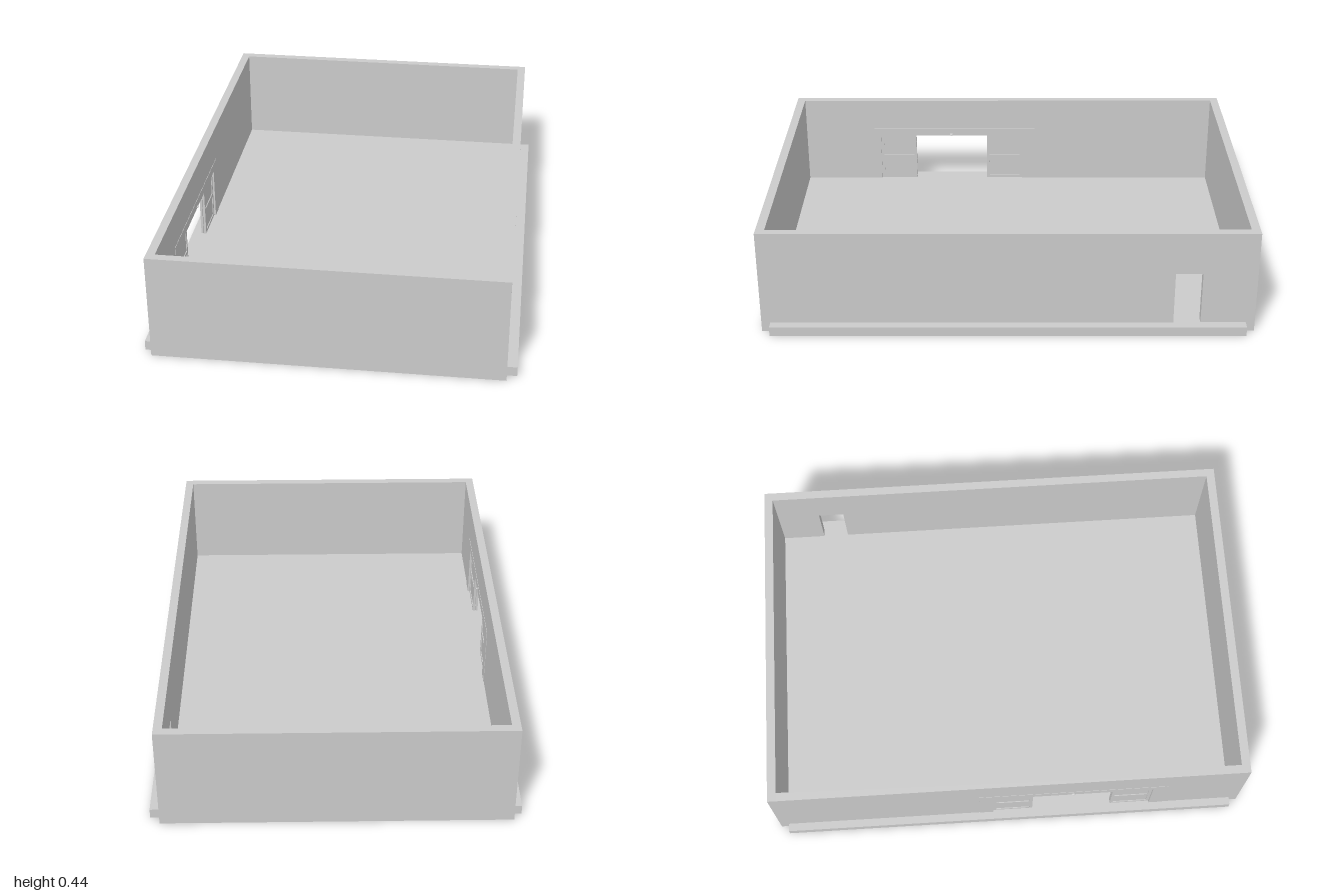
import * as THREE from 'three';

const mat = new THREE.MeshStandardMaterial({ color: 0xcccccc, flatShading: true });

const H = 0.445;            // wall height
const FLOOR = 0.04;         // top of the floor slab
const DOOR = 0.264;         // top of the door openings
const X0 = -0.705, X1 = 0.695, T = 0.035, ZI = 0.964;

// Box given by its min and max corners
function block(name, x0, x1, y0, y1, z0, z1) {
  const mesh = new THREE.Mesh(new THREE.BoxGeometry(x1 - x0, y1 - y0, z1 - z0), mat);
  mesh.position.set((x0 + x1) / 2, (y0 + y1) / 2, (z0 + z1) / 2);
  mesh.name = name;
  return mesh;
}

// Upright plate: outline drawn in (z, y), thickness from x0 to x1
function plate(name, points, x0, x1) {
  const shape = new THREE.Shape(points.map(([z, y]) => new THREE.Vector2(z, y)));
  const geo = new THREE.ExtrudeGeometry(shape, { depth: x1 - x0, bevelEnabled: false });
  geo.rotateY(-Math.PI / 2);
  const mesh = new THREE.Mesh(geo, mat);
  mesh.position.x = x1;
  mesh.name = name;
  return mesh;
}

// Side wall notched by a doorway reaching down to the slab
function sideWall(name, x0, x1, d0, d1) {
  return plate(name, [
    [-ZI, 0], [d0, 0], [d0, DOOR], [d1, DOOR], [d1, 0], [ZI, 0], [ZI, H], [-ZI, H],
  ], x0, x1);
}

// Door leaf: stiles, three rails and recessed infill
function doorLeaf(name, x, z0, z1) {
  const leaf = new THREE.Group();
  leaf.name = name;
  const t = 0.005, s = 0.013, top = DOOR, mid = (FLOOR + top) / 2;
  leaf.add(block('stile', x - t, x + t, FLOOR, top, z0, z0 + s));
  leaf.add(block('stile', x - t, x + t, FLOOR, top, z1 - s, z1));
  for (const y of [FLOOR, mid - s / 2, top - s]) {
    leaf.add(block('rail', x - t, x + t, y, y + s, z0 + s, z1 - s));
  }
  leaf.add(block('infill', x - 0.0015, x + 0.0015, FLOOR + s, top - s, z0 + s, z1 - s));
  return leaf;
}

export function createModel() {
  const g = new THREE.Group();
  g.name = 'openRoofBuilding';

  // Floor slab, projecting as a step along both long sides
  g.add(block('floorSlab', -0.738, 0.735, 0, FLOOR, -ZI, ZI));

  // Walls
  g.add(block('frontWall', X0, X1, 0, H, ZI, 1));
  g.add(block('backWall', X0, X1, 0, H, -1, -ZI));
  g.add(sideWall('leftWall', X1 - T, X1, -0.78, -0.67));
  const c = 0.27, half = 0.34;
  g.add(sideWall('rightWall', X0, X0 + T, c - half, c + half));

  // Thin casing around the wide entrance, on both faces of the wall
  const out = 0.4, top = 0.3;
  const casing = [
    [c - out, FLOOR], [c - half, FLOOR], [c - half, DOOR], [c + half, DOOR],
    [c + half, FLOOR], [c + out, FLOOR], [c + out, top], [c - out, top],
  ];
  g.add(plate('entranceCasing', casing, X0 - 0.0015, X0 + T + 0.0015));

  // Sliding entrance, open: fixed outer leaf and slid-back inner leaf on each side
  const xm = X0 + T / 2;
  for (const side of [-1, 1]) {
    const a = c + side * half, b = c + side * half / 2;
    const z0 = Math.min(a, b), z1 = Math.max(a, b);
    g.add(doorLeaf('fixedLeaf', xm - 0.006, z0, z1));
    g.add(doorLeaf('slidingLeaf', xm + 0.006, z0, z1));
  }

  // Small motion sensors above the entrance, inside and outside
  for (const x of [X0, X0 + T]) {
    const sensor = new THREE.Mesh(new THREE.SphereGeometry(0.009, 8, 6), mat);
    sensor.scale.set(1, 0.6, 1);
    sensor.position.set(x, 0.271, c);
    sensor.name = 'doorSensor';
    g.add(sensor);
  }
  return g;
}
